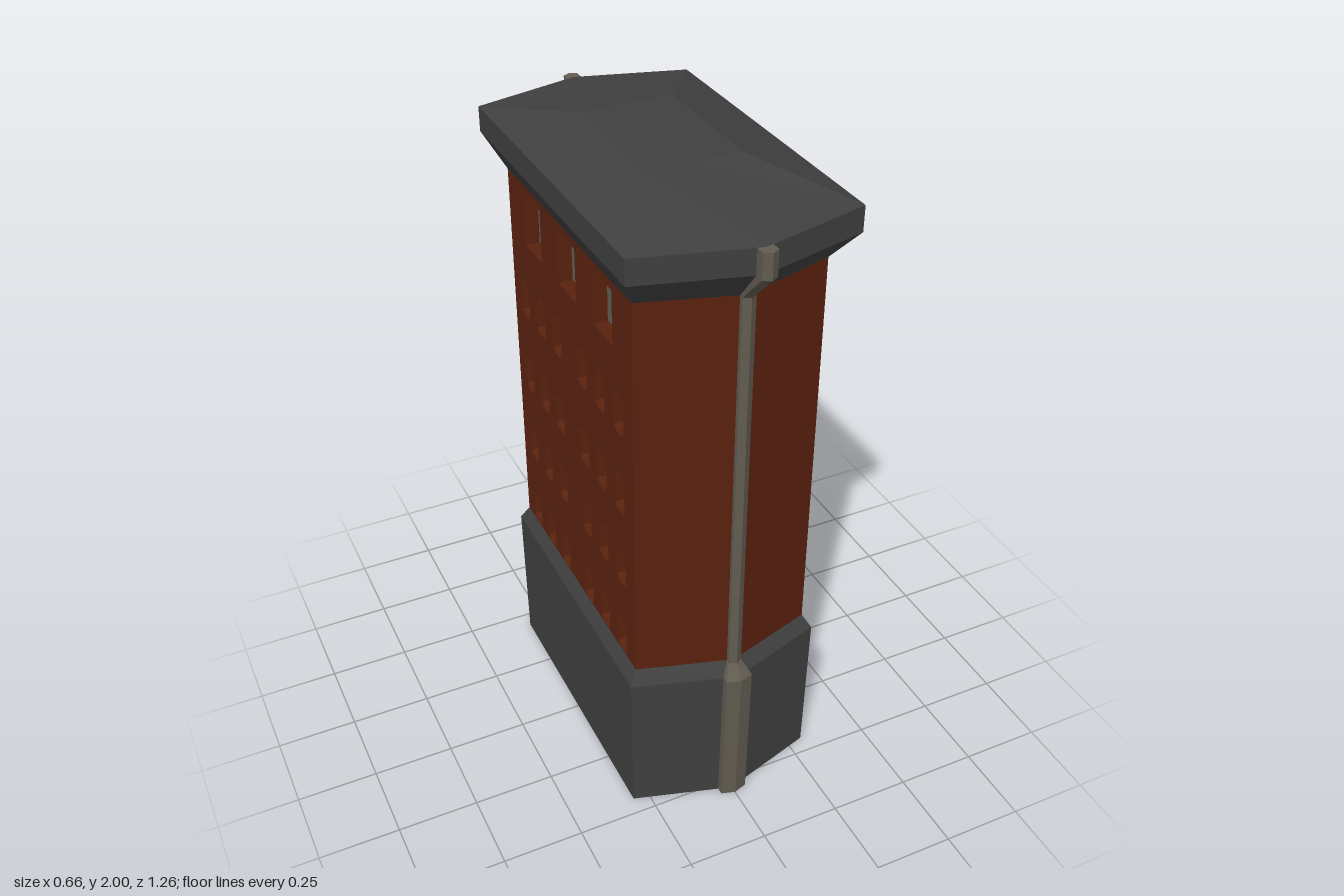
import * as THREE from 'three';

const paint = (name, color) => {
  const m = new THREE.MeshStandardMaterial({ color });
  m.name = name;
  return m;
};

// Joins rings of [x, z] points (counter-clockwise in x, z) stacked in y, with flat caps
function loft(rings) {
  const out = [];
  const put = (r, i) => out.push(r.pts[i][0], r.y, r.pts[i][1]);
  const n = rings[0].pts.length;
  for (let k = 0; k + 1 < rings.length; k++) {
    const a = rings[k], b = rings[k + 1];
    for (let i = 0; i < n; i++) {
      const j = (i + 1) % n;
      put(a, i); put(b, i); put(b, j);
      put(a, i); put(b, j); put(a, j);
    }
  }
  const cap = (r, top) => {
    const contour = r.pts.map(p => new THREE.Vector2(p[0], p[1]));
    for (const f of THREE.ShapeUtils.triangulateShape(contour, [])) {
      (top ? [f[2], f[1], f[0]] : f).forEach(i => put(r, i));
    }
  };
  cap(rings[0], false);
  cap(rings[rings.length - 1], true);
  const g = new THREE.BufferGeometry();
  g.setAttribute('position', new THREE.Float32BufferAttribute(out, 3));
  g.computeVertexNormals();
  return g;
}

// Pointed-end plan; notches leave room for recessed walls on the right and left
function plan(x, zc, za, notchR = 0, notchL = 0) {
  const p = [[x, -zc]];
  if (notchR) p.push([x - notchR, -zc], [x - notchR, zc]);
  p.push([x, zc], [0, za], [-x, zc]);
  if (notchL) p.push([-x + notchL, zc], [-x + notchL, -zc]);
  p.push([-x, -zc], [0, -za]);
  return p;
}

const poly = (pts, Type = THREE.Shape) => new Type(pts.map(p => new THREE.Vector2(p[0], p[1])));

// Rectangle with optional cut corners
function opening(u, y0, w, h, c) {
  const a = u - w / 2, b = u + w / 2, y1 = y0 + h;
  if (!c) return [[a, y0], [b, y0], [b, y1], [a, y1]];
  return [[a + c, y0], [b - c, y0], [b, y0 + c], [b, y1 - c],
    [b - c, y1], [a + c, y1], [a, y1 - c], [a, y0 + c]];
}

export function createModel() {
  const model = new THREE.Group();
  model.name = 'towerBlock';
  const brick = paint('brick', 0x5a220f);
  const slate = paint('slate', 0x404040);
  const stone = paint('stone', 0x625c50);
  const glass = paint('windowGlass', 0x625e57);
  const amber = paint('amberPane', 0x452e0e);
  const add = (name, geo, mat, parent = model) => {
    const m = new THREE.Mesh(geo, mat);
    m.name = name;
    parent.add(m);
    return m;
  };
  const D = 0.045; // depth of the recesses

  // Plinth with a doorway on the right
  add('plinth', loft([
    { y: 0, pts: plan(0.3, 0.445, 0.535, D) },
    { y: 0.49, pts: plan(0.305, 0.45, 0.545, D) },
  ]), slate);
  add('plinthSlope', loft([
    { y: 0.49, pts: plan(0.305, 0.45, 0.545) },
    { y: 0.535, pts: plan(0.28, 0.43, 0.515) },
  ]), slate);
  const doorWall = new THREE.ExtrudeGeometry(poly([
    [-0.445, 0], [-0.07, 0], [-0.07, 0.25], [0.065, 0.25], [0.065, 0],
    [0.445, 0], [0.445, 0.49], [-0.445, 0.49],
  ]), { depth: D, bevelEnabled: false }).rotateY(Math.PI / 2).translate(0.3 - D, 0, 0);
  const pos = doorWall.attributes.position;
  for (let i = 0; i < pos.count; i++) {
    const t = pos.getY(i) / 0.49;
    pos.setX(i, pos.getX(i) + 0.005 * t);
    pos.setZ(i, pos.getZ(i) * (1 + 0.011 * t));
  }
  doorWall.computeVertexNormals();
  add('doorWall', doorWall, slate);
  add('door', new THREE.BoxGeometry(0.008, 0.25, 0.135), amber).position.set(0.302 - D, 0.125, 0.0025);

  // Brick shaft
  add('shaft', loft([
    { y: 0.535, pts: plan(0.28, 0.43, 0.515, D, D) },
    { y: 1.77, pts: plan(0.28, 0.43, 0.515, D, D) },
  ]), brick);

  // Window walls: four rows of six windows and three large ones on top
  const columns = [-0.34, -0.217, -0.095, 0.09, 0.213, 0.337];
  const rows = [0.537, 0.797, 1.057, 1.322];
  const litCells = ['1,2', '2,4', '3,0', '4,0'];
  for (const right of [true, false]) {
    const side = new THREE.Group();
    side.name = right ? 'rightWindowWall' : 'leftWindowWall';
    if (!right) side.rotation.y = Math.PI;
    model.add(side);
    const wall = poly([[-0.43, 0.535], [0.43, 0.535], [0.43, 1.77], [-0.43, 1.77]]);
    const place = (u, y, w, h, c, cell) => {
      const lit = right && litCells.includes(cell);
      const pts = opening(u, y, w, h, lit ? 0 : c);
      wall.holes.push(poly(pts, THREE.Path));
      add('windowPane', new THREE.ShapeGeometry(poly(pts)).rotateY(Math.PI / 2)
        .translate(0.283 - D, 0, 0), lit ? amber : glass, side);
    };
    rows.forEach((y, r) => columns.forEach((u, c) =>
      place(u, y, 0.063, r ? 0.13 : 0.122, 0.014, `${r},${c}`)));
    [-0.247, 0.002, 0.245].forEach((u, c) => place(u, 1.58, 0.125, 0.165, 0, `4,${c}`));
    add('wall', new THREE.ExtrudeGeometry(wall, { depth: D, bevelEnabled: false })
      .rotateY(Math.PI / 2).translate(0.28 - D, 0, 0), brick, side);
  }

  // Flared cornice and low hipped roof
  add('corniceAndRoof', loft([
    { y: 1.77, pts: plan(0.28, 0.43, 0.515) },
    { y: 1.865, pts: plan(0.33, 0.505, 0.595) },
    { y: 1.94, pts: plan(0.33, 0.505, 0.595) },
    { y: 2, pts: plan(0.14, 0.21, 0.21) },
  ]), slate);

  // Stone rib along each pointed end: height, half width, tip
  const ribRings = [[0, 0.042, 0.557], [0.49, 0.042, 0.566], [0.535, 0.02, 0.535],
    [1.77, 0.02, 0.535], [1.865, 0.022, 0.63], [1.94, 0.022, 0.63]].map(([y, w, z]) => {
    const s = z - 0.013, b = z - 0.06;
    return { y, pts: [[w, b], [w, s], [0, z], [-w, s], [-w, b]] };
  });
  add('frontRib', loft(ribRings), stone);
  add('backRib', loft(ribRings), stone).rotation.y = Math.PI;

  // Bent vent pipe on the back
  const vent = add('ventPipe', new THREE.ExtrudeGeometry(poly([
    [-0.02, 1.495], [0.035, 1.495], [0.127, 1.62], [0.072, 1.62], [0.02, 1.545], [-0.02, 1.545],
  ]), { depth: 0.056, bevelEnabled: false }).translate(0, 0, -0.028), stone);
  vent.rotation.y = 1.276;
  vent.position.set(0.212, 0, -0.447);

  return model;
}
